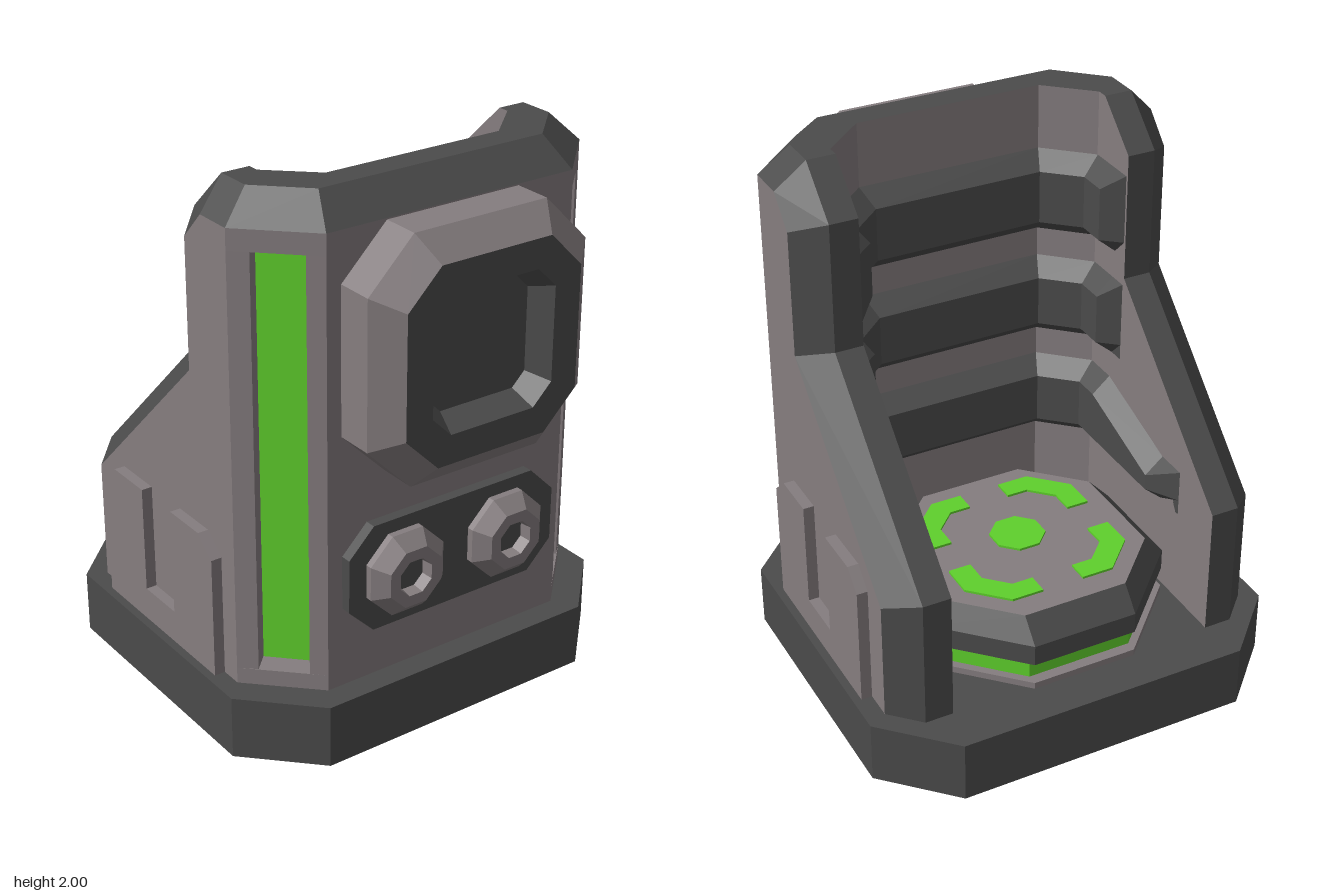
import * as THREE from 'three';

const paint = (name, color) => new THREE.MeshStandardMaterial({ name, color, side: THREE.DoubleSide });

// Flat-faced skin through rings of [x, y, z] points; closed rings may get an end cap
function loft(rings, closed = true, cap = false) {
  const pos = [];
  const tri = (...pts) => pts.forEach((p) => pos.push(...p));
  for (let i = 0; i + 1 < rings.length; i++) {
    const a = rings[i], b = rings[i + 1], n = a.length;
    for (let j = 0; j < (closed ? n : n - 1); j++) {
      const k = (j + 1) % n;
      tri(a[j], a[k], b[k]);
      tri(a[j], b[k], b[j]);
    }
  }
  if (cap) {
    const e = rings[rings.length - 1];
    for (let j = 1; j + 1 < e.length; j++) tri(e[0], e[j], e[j + 1]);
  }
  const g = new THREE.BufferGeometry();
  g.setAttribute('position', new THREE.Float32BufferAttribute(pos, 3));
  g.computeVertexNormals();
  return g;
}

// Rectangle with cut corners, counter-clockwise
const oct = (w, h, c) => [[w, c - h], [w, h - c], [w - c, h], [c - w, h], [-w, h - c], [-w, c - h], [c - w, -h], [w - c, -h]];
const facing = (pts, cx, cy, z) => pts.map(([u, v]) => [cx + u, cy + v, z]);
const lying = (pts, y, cz) => pts.map(([u, v]) => [u, y, cz - v]);
const shapeOf = (pts) => new THREE.Shape(pts.map(([u, v]) => new THREE.Vector2(u, v)));

// Footprint given as [x, z], raised from y0 to y1
function prism(pts, y0, y1) {
  const g = new THREE.ExtrudeGeometry(shapeOf(pts.map(([x, z]) => [x, -z])), { depth: y1 - y0, bevelEnabled: false });
  return g.rotateX(-Math.PI / 2).translate(0, y0, 0);
}

export function createModel() {
  const grey = paint('warm grey metal', 0x857d7f);
  const dark = paint('dark metal', 0x4b4b4b);
  const green = paint('green glow', 0x5fd02c);
  const model = new THREE.Group();
  model.name = 'booth';
  const add = (name, geo, mat, parent = model) => {
    const m = new THREE.Mesh(geo, mat);
    m.name = name;
    parent.add(m);
    return m;
  };
  const FLOOR = 0.235, SEAM = 0.22, RIM = 1.895;

  // Base slab
  const foot = oct(0.79, 0.74, 0.24);
  add('base', loft([lying(foot, 0, -0.07), lying(foot, FLOOR, -0.07)], true, true), dark);
  add('baseUnderside', loft([lying(foot, 0, -0.07).reverse()], true, true), dark);

  // Front wall in three bands, the middle one with corner slots
  const mirrorPath = (half) => [...half.map(([x, z]) => [-x, z]), ...half.slice().reverse()];
  const outer = mirrorPath([[0.72, SEAM], [0.72, 0.36], [0.495, 0.58]]);
  const slotted = mirrorPath([[0.72, SEAM], [0.72, 0.36], [0.665, 0.41], [0.605, 0.35], [0.48, 0.475], [0.54, 0.535], [0.495, 0.58]]);
  const inner = mirrorPath([[0.51, SEAM], [0.51, SEAM + 0.002], [0.35, 0.37]]);
  const innerBack = inner.slice().reverse();
  add('frontWallFoot', prism([...outer, ...innerBack], FLOOR, 0.295), grey);
  add('frontWall', prism([...slotted, ...innerBack], 0.295, 1.82), grey);
  add('frontWallHead', prism([...outer, ...innerBack], 1.82, RIM), grey);

  // Bevelled rim on the front wall
  const at = (path, y) => path.map(([x, z]) => [x, y, z]);
  const inset = mirrorPath([[0.615, SEAM], [0.615, 0.315], [0.45, 0.475]]);
  add('frontRim', loft([at(outer, RIM), at(inset, 2), at(inner, 2)], false), dark);
  add('frontRimInside', loft([at(inner, 2), at(inner, RIM)], false), grey);

  // Side walls, trim, raised panels and light strips; [z, y] profiles
  const edge = [[SEAM, 2], [0.18, 2], [0.01, 1.84], [0.01, 1.36], [-0.64, 0.73], [-0.64, FLOOR]];
  const face = [[SEAM, RIM], [0.215, RIM], [0.115, 1.79], [0.115, 1.32], [-0.535, 0.69], [-0.535, FLOOR]];
  const across = (path, x) => path.map(([z, y]) => [x, y, z]);
  const panel = [[0.28, FLOOR], [0.28, 0.69], [0.2, 0.76], [0.02, 0.76], [0.02, 0.36], [-0.17, 0.36],
    [-0.17, 0.76], [-0.36, 0.76], [-0.43, 0.69], [-0.43, FLOOR]];
  const flipZ = (pts) => pts.map(([z, y]) => [-z, y]);
  for (const s of [1, -1]) {
    const side = new THREE.Group();
    side.name = s > 0 ? 'leftSide' : 'rightSide';
    side.scale.x = s;
    model.add(side);
    add('sideTrim', loft([across(face, 0.72), across(edge, 0.615), across(edge, 0.51)], false), dark, side);
    add('sideWallOutside', new THREE.ShapeGeometry(shapeOf(flipZ([...face, [SEAM, FLOOR]])))
      .rotateY(Math.PI / 2).translate(0.72, 0, 0), grey, side);
    add('sideWallInside', new THREE.ShapeGeometry(shapeOf([...edge, [SEAM, FLOOR]]))
      .rotateY(-Math.PI / 2).translate(0.51, 0, 0), grey, side);
    add('sidePanel', new THREE.ExtrudeGeometry(shapeOf(flipZ(panel)), { depth: 0.04, bevelEnabled: false })
      .rotateY(Math.PI / 2).translate(0.72, 0, 0), grey, side);
    const strip = add('lightStrip', new THREE.BoxGeometry(0.175, 1.523, 0.008), green, side);
    strip.position.set(0.5435, 1.0575, 0.4135);
    strip.rotation.y = Math.PI / 4;
  }

  // Inner rails: [top, bottom, front end z, wall end z, drop of the top at the ends]
  for (const [y1, y0, zf, zw, drop] of [[1.7, 1.5, 0.08, 0.02, 0], [1.27, 1.08, 0.08, 0.02, 0], [0.85, 0.66, -0.3, -0.42, 0.13]]) {
    const bend = Math.max(0.09, zf);
    const wall = mirrorPath([[0.51, zw], [0.51, zf], [0.51, bend], [0.51, SEAM], [0.35, 0.37]]);
    const front = mirrorPath([[0.51, zw], [0.44, zf], [0.44, bend], [0.44, 0.19], [0.32, 0.3]]);
    const n = wall.length;
    const run = (path, y, low) => path.map(([x, z], i) => [x, y - (Math.min(i, n - 1 - i) < 2 ? low : 0), z]);
    add('innerRail', loft([run(wall, y1 + 0.06, drop), run(front, y1, drop), run(front, y0, 0), run(wall, y0 - 0.06, 0)], false), dark);
  }

  // Standing pad with glowing gap and marks
  const PZ = -0.175;
  const wide = oct(0.48, 0.48, 0.28), mid = oct(0.44, 0.44, 0.24), top = oct(0.4, 0.405, 0.2);
  add('padFoot', loft([lying(wide, FLOOR, PZ), lying(wide, 0.26, PZ)], true, true), grey);
  add('padGlow', loft([lying(mid, 0.26, PZ), lying(mid, 0.34, PZ)]), green);
  add('padEdge', loft([lying(mid, 0.34, PZ), lying(wide, 0.34, PZ), lying(wide, 0.42, PZ), lying(top, 0.505, PZ)]), dark);
  add('padTop', loft([lying(top, 0.505, PZ)], true, true), grey);
  const dot = oct(0.095, 0.095, 0.056);
  add('padDot', loft([lying(dot, 0.505, -0.145), lying(dot, 0.514, -0.145)], true, true), green);
  const bracket = [[0.08, 0.325], [0.2, 0.325], [0.325, 0.2], [0.325, 0.075], [0.24, 0.075], [0.24, 0.165], [0.16, 0.245], [0.08, 0.245]];
  for (const sx of [1, -1]) for (const sz of [1, -1]) {
    add('padBracket', prism(bracket.map(([x, z]) => [sx * x, -0.165 + sz * z]), 0.505, 0.514), green);
  }

  // Front window
  const WY = 1.45;
  const hood = oct(0.44, 0.44, 0.175), lip = oct(0.35, 0.35, 0.13);
  add('windowHood', loft([facing(hood, 0, WY, 0.58), facing(hood, 0, WY, 0.72), facing(lip, 0, WY, 0.805)]), grey);
  add('windowFrame', loft([facing(lip, 0, WY, 0.805), facing(oct(0.245, 0.245, 0.075), 0, WY, 0.805),
    facing(oct(0.2, 0.2, 0.05), 0, WY, 0.72)], true, true), dark);

  // Control plate with two knobs
  const plate = oct(0.437, 0.2, 0.1);
  add('controlPlate', loft([facing(plate, 0, 0.64, 0.58), facing(plate, 0, 0.64, 0.62)], true, true), dark);
  for (const x of [-0.215, 0.215]) {
    const ring = (r, z) => facing(oct(r, r, r * 0.586), x, 0.64, z);
    add('knob', loft([ring(0.152, 0.62), ring(0.152, 0.645), ring(0.105, 0.695), ring(0.065, 0.695), ring(0.06, 0.65)]), grey);
    add('knobSocket', loft([ring(0.06, 0.65)], true, true), dark);
  }
  return model;
}
